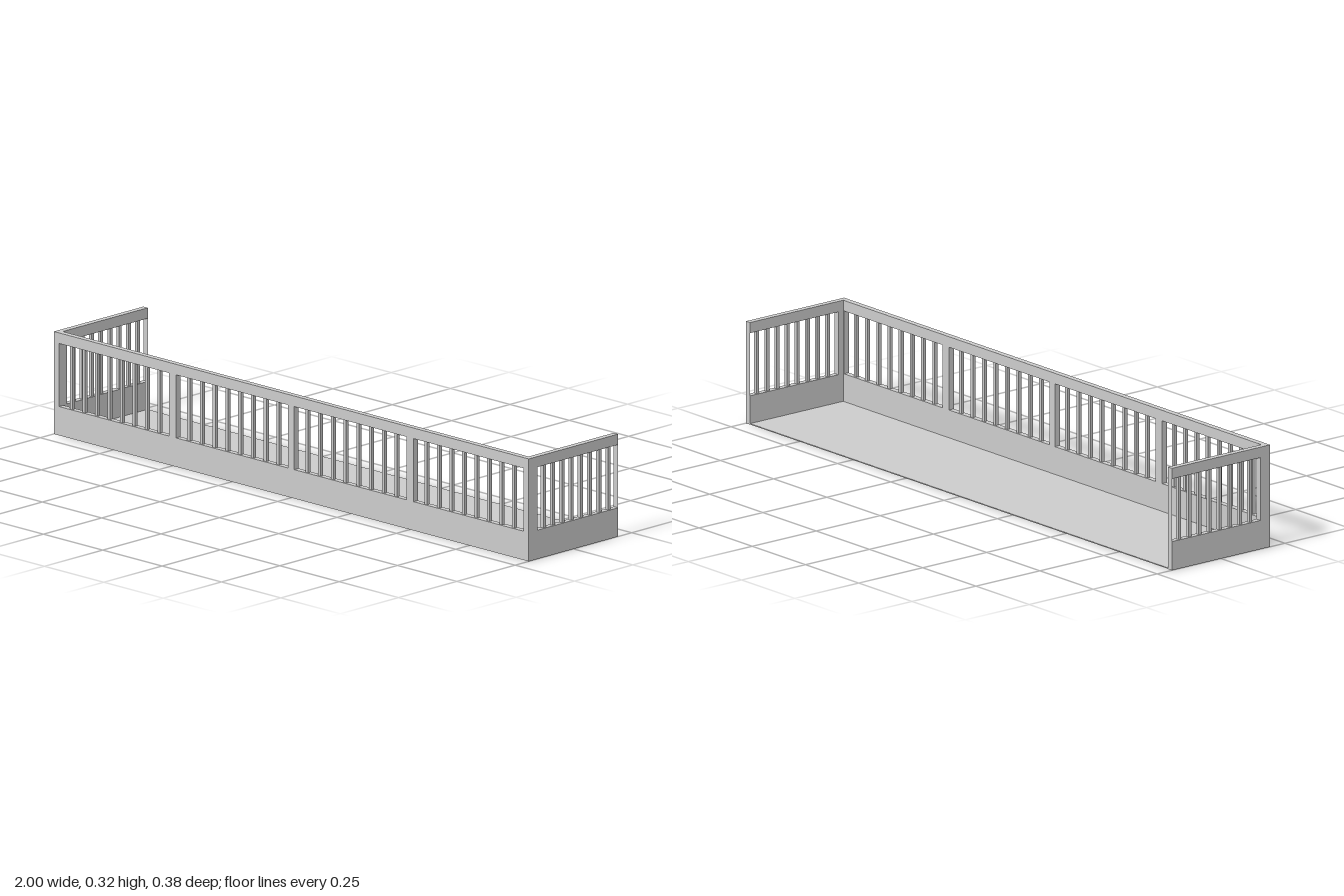
import * as THREE from 'three';

const HEIGHT = 0.32, SILL = 0.09, HEAD = 0.287;
const DEPTH = 0.384, THICK = 0.019, BAR = 0.0107;

const material = new THREE.MeshStandardMaterial({ color: 0xcccccc });

function addBox(group, name, size, position) {
  const mesh = new THREE.Mesh(new THREE.BoxGeometry(...size), material);
  mesh.name = name;
  mesh.position.set(...position);
  group.add(mesh);
}

// Upright panel centred on its own origin, with barred openings [from, to]
function createPanel(name, width, openings) {
  const panel = new THREE.Group();
  panel.name = name;

  const h = width / 2;
  const shape = new THREE.Shape([[-h, 0], [h, 0], [h, HEIGHT], [-h, HEIGHT]]
    .map(([x, y]) => new THREE.Vector2(x, y)));
  for (const [a, b] of openings) {
    shape.holes.push(new THREE.Path([[a, SILL], [a, HEAD], [b, HEAD], [b, SILL]]
      .map(([x, y]) => new THREE.Vector2(x, y))));
  }
  const geometry = new THREE.ExtrudeGeometry(shape, { depth: THICK, bevelEnabled: false });
  geometry.translate(0, 0, -THICK / 2);
  const frame = new THREE.Mesh(geometry, material);
  frame.name = name + 'Frame';
  panel.add(frame);

  // Eight evenly spaced bars make nine gaps in every opening
  for (const [a, b] of openings) {
    const gap = (b - a - 8 * BAR) / 9;
    for (let i = 0; i < 8; i++) {
      const x = a + gap + BAR / 2 + i * (gap + BAR);
      addBox(panel, 'bar', [BAR, HEAD - SILL, BAR], [x, (SILL + HEAD) / 2, 0]);
    }
  }
  return panel;
}

export function createModel() {
  const balcony = new THREE.Group();
  balcony.name = 'balcony';

  // Thin floor slab
  addBox(balcony, 'floor', [1.998, 0.003, DEPTH - 0.002], [0, 0.0015, 0]);

  // Front railing with four barred bays
  const front = createPanel('frontRailing', 2,
    [[-0.978, -0.515], [-0.485, -0.0125], [0.0125, 0.485], [0.515, 0.978]]);
  front.position.z = DEPTH / 2 - THICK / 2;
  balcony.add(front);

  // Side railings run from the front railing to the open back
  const sideWidth = DEPTH - THICK;
  for (const side of [-1, 1]) {
    const railing = createPanel(side > 0 ? 'leftRailing' : 'rightRailing', sideWidth,
      [[-0.173 - THICK / 2, 0.173 - THICK / 2].map((v) => -v).reverse()]);
    railing.rotation.y = Math.PI / 2;
    railing.position.set(side * (1 - THICK / 2), 0, -THICK / 2);
    balcony.add(railing);
  }
  return balcony;
}
